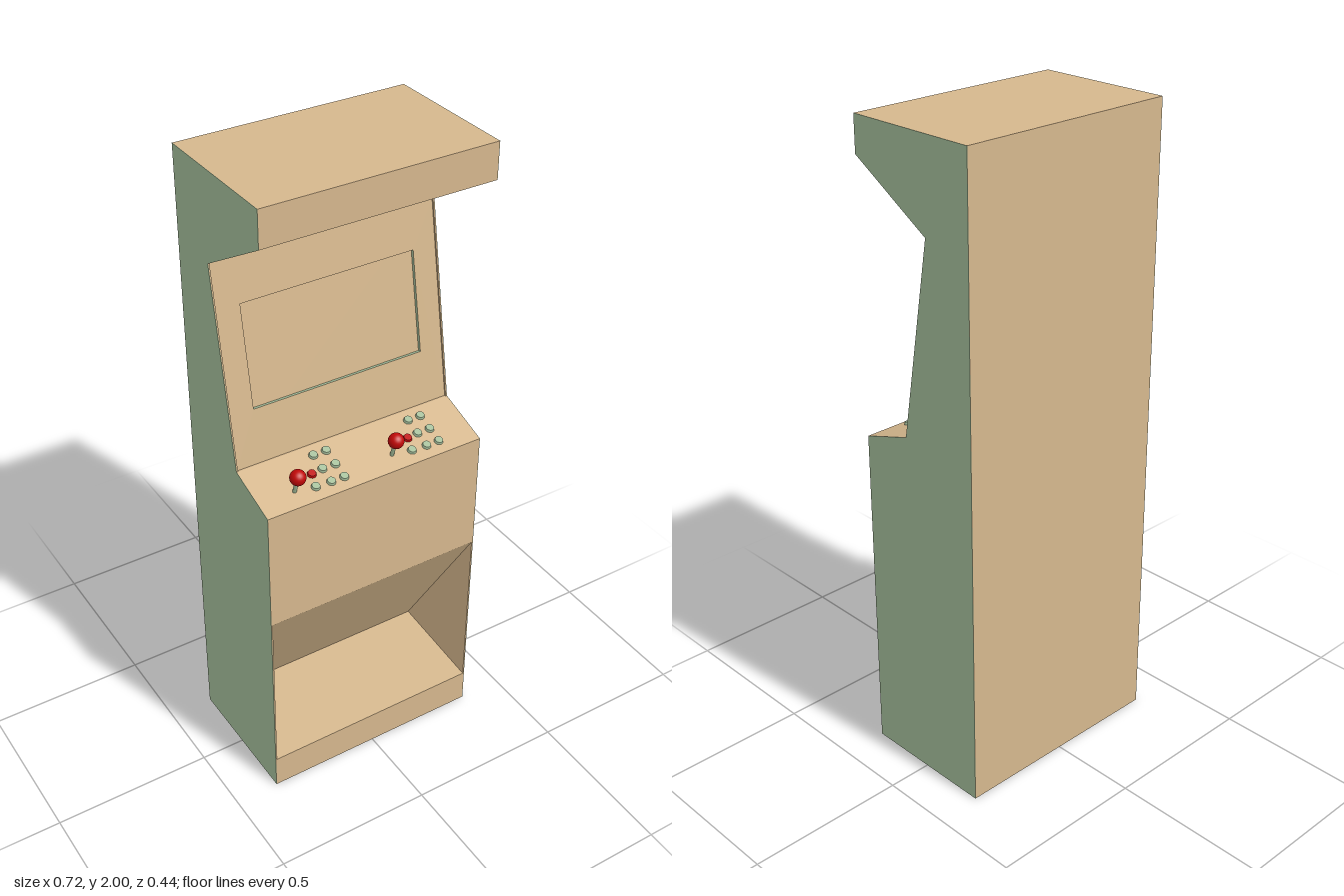
import * as THREE from 'three';

export function createModel() {
  const model = new THREE.Group();
  const material = (name, color) => {
    const m = new THREE.MeshStandardMaterial({ color });
    m.name = name;
    return m;
  };
  const wood = material('tan wood', 0xd5b78d);
  const green = material('sage green', 0xa6c09c);
  const red = material('red', 0xc00808);

  const W = 0.36; // half width
  const SKIN = 0.001; // painted side layer

  const add = (parent, name, geometry, mat) => {
    const mesh = new THREE.Mesh(geometry, mat);
    mesh.name = name;
    parent.add(mesh);
    return mesh;
  };

  // Extrudes a [z, y] outline across x, centred on the given x
  const slab = (name, points, width, x, mat) => {
    const shape = new THREE.Shape(points.map(([z, y]) => new THREE.Vector2(z, y)));
    const geometry = new THREE.ExtrudeGeometry(shape, { depth: width, bevelEnabled: false });
    geometry.translate(0, 0, -width / 2).rotateY(-Math.PI / 2).translate(x, 0, 0);
    return add(model, name, geometry, mat);
  };

  // Side panels: wooden board with a green outer skin
  const profile = [
    [0.22, 0], [0.22, 1.06], [0.05, 1.115], [-0.055, 1.725],
    [0.22, 1.89], [0.22, 2], [-0.22, 2], [-0.22, 0],
  ];
  for (const [side, s] of [['left', 1], ['right', -1]]) {
    slab(side + 'SideBoard', profile, 0.005 - SKIN, s * (W - SKIN - (0.005 - SKIN) / 2), wood);
    slab(side + 'SidePaint', profile, SKIN, s * (W - SKIN / 2), green);
  }

  // Cabinet sections between the sides
  const inner = 2 * (W - SKIN);
  const sections = {
    hood: [[0.22, 1.89], [0.22, 2], [-0.22, 2], [-0.22, 1.725], [-0.055, 1.725]],
    screenBacking: [[0.0348, 1.115], [-0.0702, 1.725], [-0.22, 1.725], [-0.22, 1.115]],
    console: [[0.22, 0.67], [0.22, 1.06], [0.05, 1.115], [-0.22, 1.115], [-0.22, 0.14], [-0.1, 0.14]],
    footwellFloor: [[0.22, 0.11], [-0.1, 0.14], [-0.22, 0.14], [-0.22, 0.1], [0.22, 0.1]],
    frontKickboard: [[0.22, 0], [0.22, 0.1], [0.213, 0.1], [0.213, 0]],
    backKickboard: [[-0.213, 0], [-0.213, 0.1], [-0.22, 0.1], [-0.22, 0]],
  };
  for (const [name, points] of Object.entries(sections)) slab(name, points, inner, 0, wood);

  // Leaning screen surround with a green-edged opening
  const surround = new THREE.Shape([
    new THREE.Vector2(-0.355, 0), new THREE.Vector2(0.355, 0),
    new THREE.Vector2(0.355, 0.619), new THREE.Vector2(-0.355, 0.619),
  ]);
  surround.holes.push(new THREE.Path([
    new THREE.Vector2(-0.28, 0.168), new THREE.Vector2(-0.28, 0.482),
    new THREE.Vector2(0.28, 0.482), new THREE.Vector2(0.28, 0.168),
  ]));
  const surroundGeometry = new THREE.ExtrudeGeometry(surround, { depth: 0.01, bevelEnabled: false });
  surroundGeometry.translate(0, 0, -0.015);
  const screen = add(model, 'screenSurround', surroundGeometry, [wood, green]);
  screen.position.set(0, 1.115, 0.05);
  screen.rotation.x = -Math.atan2(0.105, 0.61);

  // Controls stand square to the sloped deck
  const deck = new THREE.Group();
  deck.name = 'controls';
  const slope = Math.atan2(0.055, 0.17);
  deck.position.set(0, 1.06, 0.22);
  deck.rotation.x = slope;
  model.add(deck);
  const along = (z) => -(0.22 - z) / Math.cos(slope);

  const buttonGeometry = new THREE.CylinderGeometry(0.012, 0.014, 0.008, 20);
  const stickGeometry = new THREE.CylinderGeometry(0.006, 0.006, 0.06, 16);
  const ballGeometry = new THREE.SphereGeometry(0.024, 24, 16);
  const greenButtons = [[-0.18, 0.178]];
  for (const x of [-0.13, -0.087]) for (const z of [0.18, 0.133, 0.083]) greenButtons.push([x, z]);

  for (const [player, offset] of [['first', 0], ['second', 0.326]]) {
    const set = new THREE.Group();
    set.name = player + 'PlayerControls';
    set.position.x = offset;
    deck.add(set);
    add(set, 'stick', stickGeometry, green).position.set(-0.243, 0.03, along(0.168));
    add(set, 'stickBall', ballGeometry, red).position.set(-0.243, 0.064, along(0.168));
    add(set, 'redButton', buttonGeometry, red).position.set(-0.168, 0.004, along(0.137));
    for (const [x, z] of greenButtons) {
      add(set, 'button', buttonGeometry, green).position.set(x, 0.004, along(z));
    }
  }

  return model;
}
